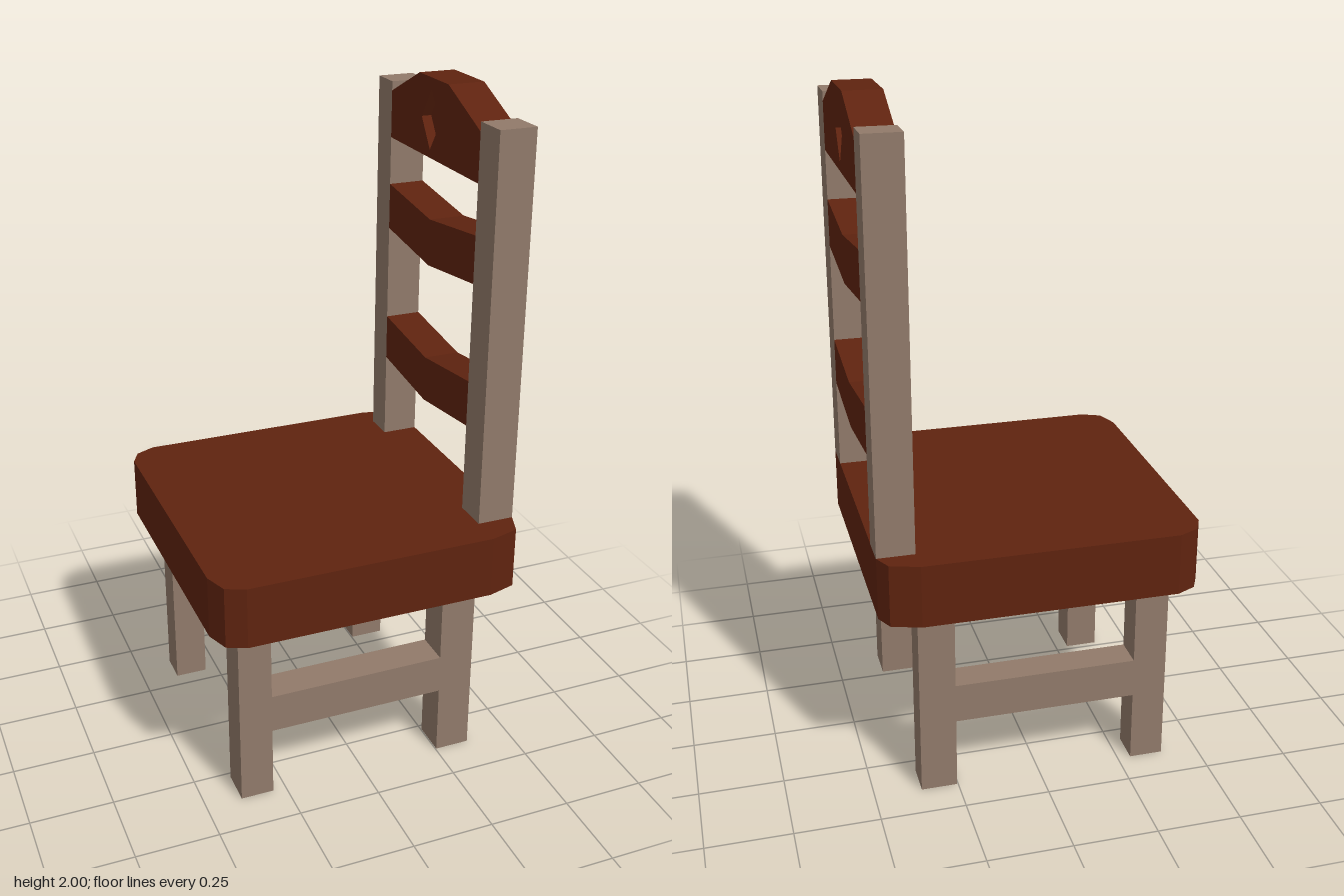
import * as THREE from 'three';

export function createModel() {
  const chair = new THREE.Group();
  chair.name = 'chair';

  const brown = new THREE.MeshStandardMaterial({ color: 0x5f230f });
  brown.name = 'dark red wood';
  const grey = new THREE.MeshStandardMaterial({ color: 0x917a6a });
  grey.name = 'pale grey wood';

  const add = (name, geometry, material) => {
    const mesh = new THREE.Mesh(geometry, material);
    mesh.name = name;
    chair.add(mesh);
    return mesh;
  };
  // Box given by its limits on each axis
  const box = (name, [x0, x1], [y0, y1], [z0, z1], material) =>
    add(name, new THREE.BoxGeometry(x1 - x0, y1 - y0, z1 - z0), material)
      .position.set((x0 + x1) / 2, (y0 + y1) / 2, (z0 + z1) / 2);
  const toShape = (points) => new THREE.Shape(points.map(([a, b]) => new THREE.Vector2(a, b)));
  const extrude = (shape, depth) => new THREE.ExtrudeGeometry(shape, { depth, bevelEnabled: false });
  // Board with a (z, y) outline, running from xBack towards -x
  const board = (name, shape, xBack, thickness) =>
    add(name, extrude(shape, thickness).rotateY(-Math.PI / 2).translate(xBack, 0, 0), brown);

  const backX = [0.36, 0.47];
  const sides = [
    { side: 'left', z: [0.268, 0.375], lip: [0.375, 0.466] },
    { side: 'right', z: [-0.395, -0.3], lip: [-0.466, -0.395] },
  ];

  // Legs, stretchers, back posts and the strips under the seat edge
  for (const { side, z, lip } of sides) {
    box(`${side}FrontLeg`, [-0.39, -0.29], [0, 0.77], z, grey);
    box(`${side}RearLeg`, [0.253, 0.36], [0, 0.77], z, grey);
    box(`${side}Stretcher`, [-0.29, 0.253], [0.22, 0.34], z, grey);
    box(`${side}BackPost`, backX, [0.78, 1.94], z, grey);
    box(`${side}SeatStrip`, [-0.39, 0.36], [0.594, 0.602], lip, grey);
  }

  // Seat: a clipped-corner top with a thin skirt, hollow underneath
  const outline = [
    [-0.39, 0.472], [-0.447, 0.445], [-0.472, 0.395], [-0.472, -0.375],
    [-0.447, -0.445], [-0.39, -0.47], [0.36, -0.47], [0.445, -0.445],
    [0.47, -0.375], [0.47, 0.395], [0.445, 0.445], [0.36, 0.472],
  ];
  const skirt = toShape(outline);
  skirt.holes.push(toShape(outline.map(([x, y]) => [x * 0.988, y * 0.988])));
  add('seatSkirt', extrude(skirt, 0.178).rotateX(-Math.PI / 2).translate(0, 0.594, 0), brown);
  add('seatTop', extrude(toShape(outline), 0.01).rotateX(-Math.PI / 2).translate(0, 0.772, 0), brown);

  // Two bent slats between the posts
  const [zR, zL, zMid] = [-0.3, 0.268, -0.016];
  for (const [name, y] of [['lowerSlat', 1.053], ['upperSlat', 1.487]]) {
    board(name, toShape([
      [zR, y], [zMid, y - 0.034], [zL, y], [zL, y + 0.14], [zMid, y + 0.106], [zR, y + 0.14],
    ]), backX[1], 0.11);
  }

  // Crest rail with a sunken diamond on both faces
  const diamond = [[-0.092, 1.88], [-0.033, 1.795], [0.025, 1.88], [-0.033, 1.97]];
  const crest = toShape([
    [zR, 1.772], [zL, 1.772], [zL, 1.913], [0.07, 2], [-0.115, 2], [zR, 1.913],
  ]);
  crest.holes.push(toShape(diamond));
  board('crestRail', crest, backX[1], 0.11);
  board('diamondPanel', toShape(diamond), 0.44, 0.05);

  return chair;
}
